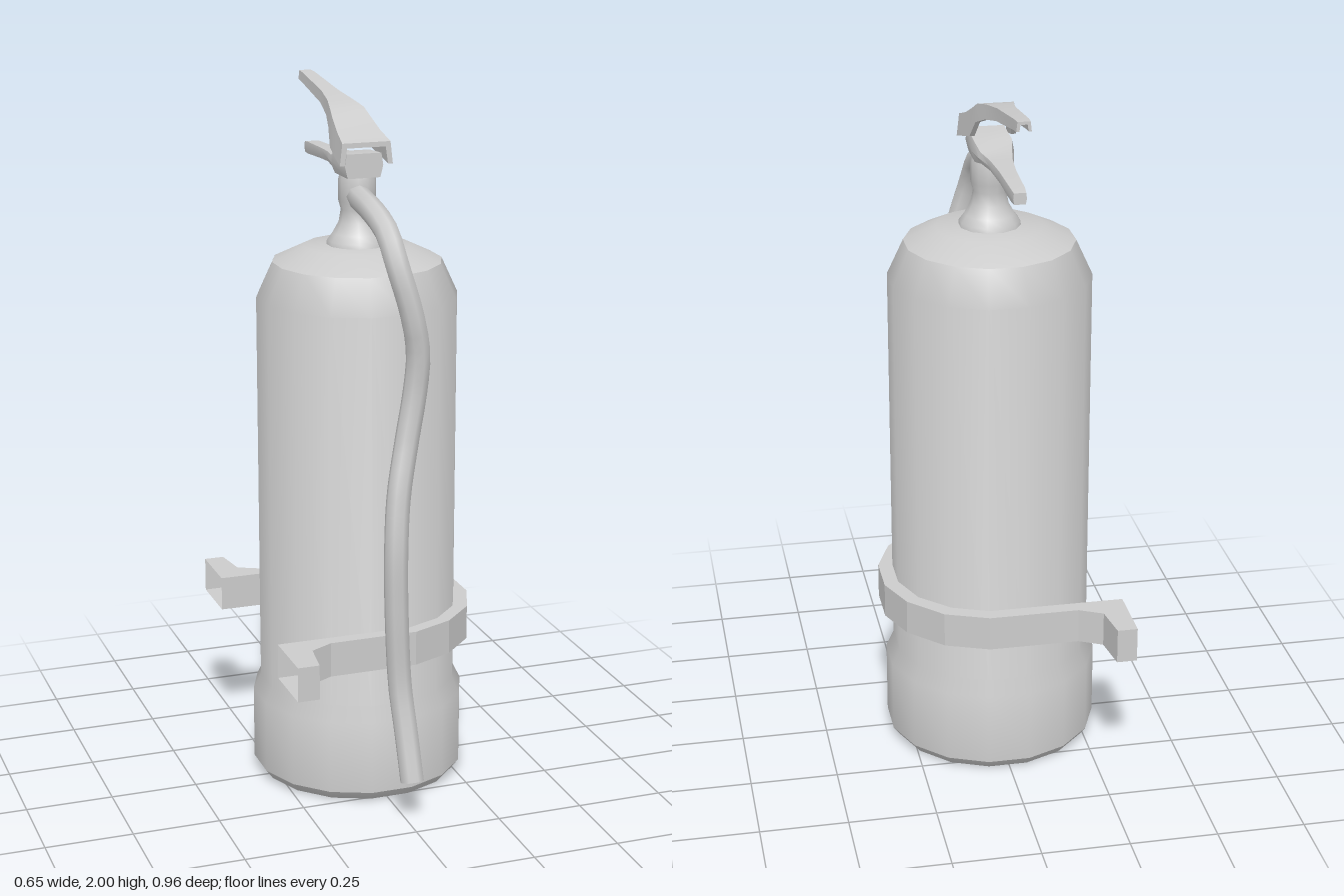
import * as THREE from 'three';
import { toCreasedNormals } from 'three/addons/utils/BufferGeometryUtils.js';

const CX = 0.005, CZ = -0.014; // axis of the cylinder and valve

function part(name, geometry, side = THREE.FrontSide) {
  const material = new THREE.MeshStandardMaterial({ color: 0xcccccc, side });
  const mesh = new THREE.Mesh(geometry, material);
  mesh.name = name;
  return mesh;
}

// Turned part with its flats facing the main axes
function lathe(profile, sides, crease) {
  const points = profile.map(([r, y]) => new THREE.Vector2(r, y));
  const geometry = new THREE.LatheGeometry(points, sides, Math.PI / sides);
  geometry.translate(CX, 0, CZ);
  return toCreasedNormals(geometry, crease);
}

// Joins matching rings (counter-clockwise seen from the front), front to back
function loft(rings, crease) {
  const n = rings[0].length;
  const index = [];
  for (let i = 0; i < rings.length - 1; i++) {
    for (let j = 0; j < n; j++) {
      const a = i * n + j, b = i * n + (j + 1) % n;
      index.push(a, a + n, b, b, a + n, b + n);
    }
  }
  const caps = (ring) => THREE.ShapeUtils.triangulateShape(ring.map(([x, y]) => new THREE.Vector2(x, y)), []);
  const last = (rings.length - 1) * n;
  for (const [a, b, c] of caps(rings[0])) index.push(a, b, c);
  for (const [a, b, c] of caps(rings[rings.length - 1])) index.push(last + a, last + c, last + b);
  const geometry = new THREE.BufferGeometry();
  geometry.setAttribute('position', new THREE.Float32BufferAttribute(rings.flat(2), 3));
  geometry.setIndex(index);
  return toCreasedNormals(geometry, crease);
}

// Upper lever: inverted channel that narrows towards the grip
function leverGeometry() {
  // z, bottom, top, half width at bottom, half width at top, wall
  const sections = [
    [0.063, 1.81, 1.872, 0.077, 0.07, 0.014],
    [0, 1.827, 1.893, 0.072, 0.063, 0.014],
    [-0.06, 1.843, 1.922, 0.064, 0.056, 0.014],
    [-0.1, 1.893, 1.944, 0.055, 0.05, 0.013],
    [-0.16, 1.917, 1.958, 0.041, 0.037, 0.012],
    [-0.25, 1.938, 1.972, 0.028, 0.025, 0.01],
    [-0.44, 1.97, 1.998, 0.021, 0.019, 0.008],
    [-0.475, 1.974, 2, 0.02, 0.017, 0.008],
  ];
  return loft(sections.map(([z, b, t, wb, wt, k]) => [
    [wb, b], [wt, t], [-wt, t], [-wb, b],
    [k - wb, b], [k - wt, t - k], [wt - k, t - k], [wb - k, b],
  ].map(([x, y]) => [CX + x, y, z])), 0.5);
}

// Lower handle: solid bar that narrows towards the grip
function handleGeometry() {
  // z, bottom, top, half width
  const sections = [
    [0.044, 1.77, 1.838, 0.056],
    [-0.06, 1.77, 1.83, 0.058],
    [-0.11, 1.78, 1.812, 0.048],
    [-0.18, 1.781, 1.81, 0.034],
    [-0.27, 1.775, 1.806, 0.025],
    [-0.4, 1.767, 1.802, 0.021],
    [-0.43, 1.767, 1.798, 0.018],
  ];
  return loft(sections.map(([z, b, t, w]) => [
    [w * 0.85, b], [w, (b + t) / 2], [w * 0.9, t],
    [-w * 0.9, t], [-w, (b + t) / 2], [-w * 0.85, b],
  ].map(([x, y]) => [CX + x, y, z])), 0.6);
}

// Wall bracket: C-shaped strap with flared feet, open on the wall side
function bracketGeometry() {
  const wallX = -0.327;
  const outline = [
    [wallX, -0.475], [-0.27, -0.475], [-0.255, -0.37], [-0.19, -0.337], [0.065, -0.337],
    [0.187, -0.29], [0.28, -0.195], [0.327, -0.083], [0.327, 0.045], [0.28, 0.163],
    [0.19, 0.252], [0.07, 0.303], [-0.185, 0.305], [-0.25, 0.34], [-0.265, 0.447],
    [wallX, 0.447], [wallX, 0.265], [0.06, 0.265], [0.16, 0.222], [0.243, 0.142],
    [0.285, 0.038], [0.285, -0.07], [0.243, -0.175], [0.16, -0.255], [0.06, -0.295],
    [wallX, -0.295],
  ];
  const shape = new THREE.Shape(outline.map(([x, z]) => new THREE.Vector2(x, -z)));
  const geometry = new THREE.ExtrudeGeometry(shape, { depth: 0.1, bevelEnabled: false });
  geometry.rotateX(-Math.PI / 2).translate(0, 0.42, 0);
  // Leave out the faces lying against the wall
  const p = geometry.attributes.position;
  const kept = [];
  for (let i = 0; i < p.count; i += 3) {
    const corners = [i, i + 1, i + 2];
    if (corners.every((k) => p.getX(k) < wallX + 0.001)) continue;
    for (const k of corners) kept.push(p.getX(k), p.getY(k), p.getZ(k));
  }
  const open = new THREE.BufferGeometry();
  open.setAttribute('position', new THREE.Float32BufferAttribute(kept, 3));
  return toCreasedNormals(open, 0.35);
}

// Hose leaving the valve forwards and hanging down the front
function makeHose() {
  const path = new THREE.CatmullRomCurve3([
    [0.005, 1.715, -0.02], [-0.01, 1.715, 0.06], [-0.018, 1.702, 0.19], [-0.012, 1.665, 0.275],
    [0, 1.58, 0.328], [0.035, 1.45, 0.345], [0.056, 1.34, 0.337], [0.05, 1.23, 0.33],
    [0.025, 1.1, 0.338], [-0.008, 0.95, 0.365], [-0.022, 0.8, 0.385], [-0.02, 0.62, 0.385],
    [-0.008, 0.4, 0.383], [0, 0.28, 0.408], [0.005, 0.135, 0.45],
  ].map((p) => new THREE.Vector3(...p)));
  const group = new THREE.Group();
  group.name = 'hose';
  group.add(part('hoseTube', new THREE.TubeGeometry(path, 44, 0.034, 8), THREE.DoubleSide));
  // Slightly recessed outlet
  const outlet = part('hoseOutlet', new THREE.CircleGeometry(0.034, 8));
  const end = path.getPointAt(0.993);
  outlet.position.copy(end);
  outlet.lookAt(end.clone().add(path.getTangentAt(1)));
  group.add(outlet);
  return group;
}

export function createModel() {
  const model = new THREE.Group();
  model.name = 'fireExtinguisher';

  // Pressure cylinder with its wider foot and domed shoulder
  model.add(part('cylinder', lathe([
    [0, 0.003], [0.275, 0.003], [0.288, 0.008], [0.308, 0.035], [0.308, 0.25], [0.286, 0.295],
    [0.286, 1.43], [0.24, 1.53], [0.15, 1.573], [0, 1.58],
  ], 16, 0.6)));

  // Valve neck with a flared collar
  model.add(part('valve', lathe([
    [0.088, 1.565], [0.085, 1.588], [0.07, 1.608], [0.052, 1.64], [0.046, 1.675],
    [0.053, 1.7], [0.053, 1.76], [0.046, 1.785], [0, 1.785],
  ], 12, 0.8)));

  model.add(part('lowerHandle', handleGeometry()));
  model.add(part('upperLever', leverGeometry(), THREE.DoubleSide));
  model.add(part('wallBracket', bracketGeometry(), THREE.DoubleSide));
  model.add(makeHose());
  return model;
}
